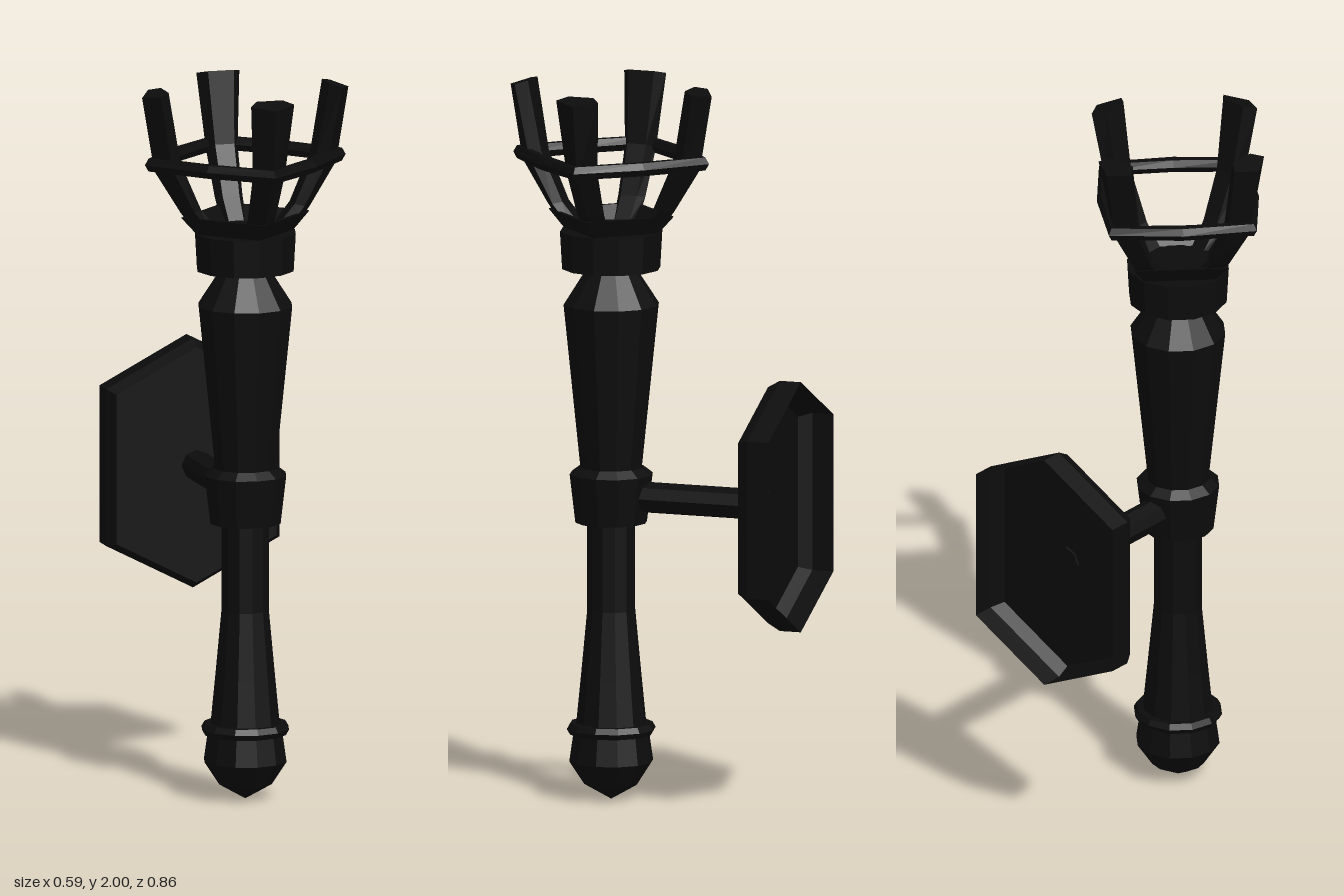
import * as THREE from 'three';

const iron = new THREE.MeshStandardMaterial({ color: 0x0c0c0c, flatShading: true, side: THREE.DoubleSide });

function add(parent, name, geometry) {
  const mesh = new THREE.Mesh(geometry, iron);
  mesh.name = name;
  parent.add(mesh);
  return mesh;
}

// Turned part from [radius, height] pairs, bottom to top
function turned(parent, name, profile, sides = 12) {
  const points = profile.map(([r, y]) => new THREE.Vector2(r, y));
  return add(parent, name, new THREE.LatheGeometry(points, sides));
}

// Skin joining equal-sized point loops, with an optional end cap
function loft(sections, capEnd) {
  const n = sections[0].length;
  const index = [];
  for (let s = 0; s < sections.length - 1; s++) {
    for (let i = 0; i < n; i++) {
      const a = s * n + i, b = s * n + (i + 1) % n;
      index.push(a, b, b + n, a, b + n, a + n);
    }
  }
  if (capEnd) {
    const o = (sections.length - 1) * n;
    for (let i = 1; i < n - 1; i++) index.push(o, o + i, o + i + 1);
  }
  const geometry = new THREE.BufferGeometry();
  geometry.setAttribute('position', new THREE.Float32BufferAttribute(sections.flat(2), 3));
  geometry.setIndex(index);
  geometry.computeVertexNormals();
  return geometry;
}

// Five-sided prong section with a ridge facing outward
function prongSection([ro, yo, ri, yi, w]) {
  const rs = ri + (ro - ri) * 0.45, ys = yi + (yo - yi) * 0.45;
  return [[ro, yo, 0], [rs, ys, -w], [ri, yi, -w * 0.6], [ri, yi, w * 0.6], [rs, ys, w]];
}

// Upright hexagon for the wall plate
function hexSection(inset, z) {
  const x = 0.25 - inset, yTop = 0.35 - inset, ySide = 0.22 - inset * 0.5, c = 0.85;
  return [[0, c + yTop, z], [-x, c + ySide, z], [-x, c - ySide, z],
    [0, c - yTop, z], [x, c - ySide, z], [x, c + ySide, z]];
}

export function createModel() {
  const model = new THREE.Group();
  model.name = 'wallTorch';

  // Torch body
  const torch = new THREE.Group();
  torch.name = 'torch';
  torch.position.z = 0.13;
  model.add(torch);

  turned(torch, 'pommel', [[0, 0], [0.075, 0.043], [0.117, 0.107], [0.105, 0.19], [0, 0.19]]);
  const band = add(torch, 'pommelRing', new THREE.TorusGeometry(0.106, 0.018, 6, 12));
  band.rotation.x = Math.PI / 2;
  band.position.y = 0.198;
  turned(torch, 'grip', [[0.1, 0.19], [0.085, 0.34], [0.067, 0.53], [0.067, 0.79]]);
  turned(torch, 'collar', [[0.066, 0.77], [0.1, 0.775], [0.116, 0.91], [0.09, 0.93]]);
  turned(torch, 'upperShaft', [[0.085, 0.92], [0.133, 1.385], [0.075, 1.475], [0.075, 1.5]]);
  turned(torch, 'cup', [[0.07, 1.495], [0.137, 1.485], [0.143, 1.59], [0, 1.59]]);

  // Square flared tray under the prongs
  turned(torch, 'tray', [[0.135, 1.585], [0.185, 1.64], [0.17, 1.64], [0.12, 1.6], [0, 1.6]], 4);
  const floor = add(torch, 'trayFloor', new THREE.CylinderGeometry(0.08, 0.08, 0.01, 12));
  floor.position.y = 1.602;

  // Four prongs: [outer radius, outer y, inner radius, inner y, half width]
  const prong = loft([
    [0.14, 1.59, 0.085, 1.605, 0.036],
    [0.187, 1.655, 0.135, 1.665, 0.04],
    [0.262, 1.775, 0.195, 1.8, 0.046],
    [0.297, 1.982, 0.232, 2.0, 0.062],
  ].map(prongSection), true);
  for (let i = 0; i < 4; i++) {
    add(torch, 'prong' + (i + 1), prong).rotation.y = i * Math.PI / 2;
  }

  // Eight-sided hoop, drawn in between the prongs
  const hoop = new THREE.TorusGeometry(0.268, 0.021, 6, 8);
  const p = hoop.attributes.position;
  for (let i = 0; i < p.count; i++) {
    if ((i % 9) % 2 === 1) {
      const r = Math.hypot(p.getX(i), p.getY(i)), k = (r - 0.065) / r;
      p.setXY(i, p.getX(i) * k, p.getY(i) * k);
    }
  }
  hoop.rotateX(Math.PI / 2);
  hoop.computeVertexNormals();
  add(torch, 'hoop', hoop).position.y = 1.793;

  // Arm to the wall
  const arm = add(model, 'arm', new THREE.CylinderGeometry(0.043, 0.043, 0.43, 8));
  arm.rotation.x = Math.PI / 2;
  arm.position.set(0, 0.85, -0.125);

  // Hollow, bevelled wall plate, open at the back
  add(model, 'wallPlate', loft([
    hexSection(0, -0.43), hexSection(0, -0.368), hexSection(0.02, -0.333),
  ], true));

  return model;
}
